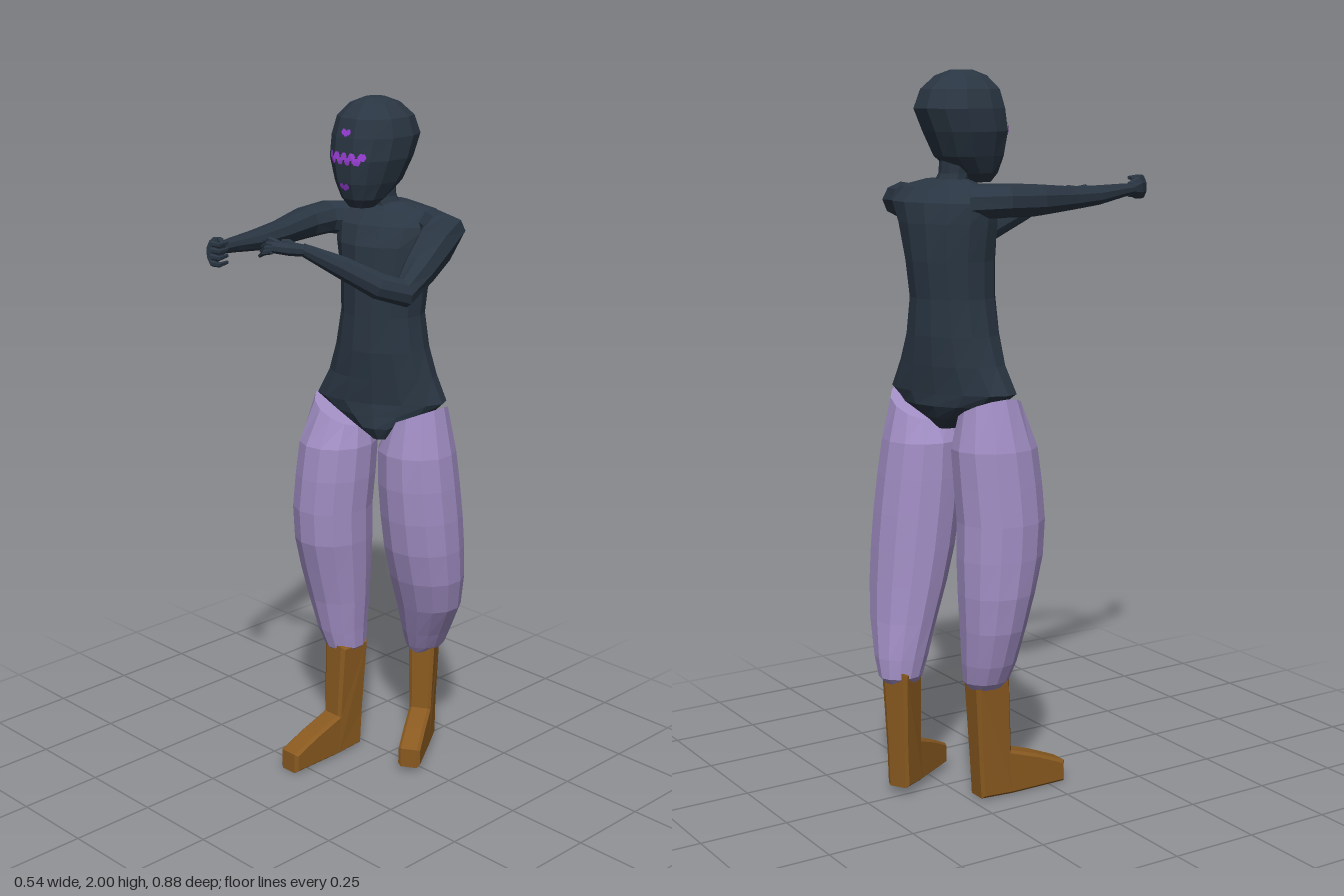
import * as THREE from 'three';

const mat = (name, color, extra = {}) => {
  const m = new THREE.MeshStandardMaterial({ color, flatShading: true, ...extra });
  m.name = name;
  return m;
};
const V = (x, y, z) => new THREE.Vector3(x, y, z);

// Skin a list of rings {c, u, v}, where v = u x travel direction, and cap both ends
function loft(rings, sides, power = 1) {
  const pos = [], idx = [];
  const bend = (t) => Math.sign(t) * Math.abs(t) ** power;
  for (const { c, u, v } of rings)
    for (let j = 0; j < sides; j++) {
      const a = ((j + 0.5) / sides) * Math.PI * 2;
      const p = c.clone().addScaledVector(u, bend(Math.cos(a))).addScaledVector(v, bend(Math.sin(a)));
      pos.push(p.x, p.y, p.z);
    }
  const n = rings.length, first = n * sides, last = first + 1;
  for (const r of [rings[0], rings[n - 1]]) pos.push(r.c.x, r.c.y, r.c.z);
  for (let j = 0; j < sides; j++) {
    const k = (j + 1) % sides, top = (n - 1) * sides;
    for (let i = 0; i < n - 1; i++) {
      const a = i * sides + j, b = i * sides + k;
      idx.push(a, a + sides, b, b, a + sides, b + sides);
    }
    idx.push(first, j, k, last, top + k, top + j);
  }
  const g = new THREE.BufferGeometry();
  g.setAttribute('position', new THREE.Float32BufferAttribute(pos, 3));
  g.setIndex(idx);
  g.computeVertexNormals();
  return g;
}

// Upright form, bottom to top: [x, y, z, half width, half depth, yaw, sideways tilt]
const column = (rows, sides, power) => loft(rows.map(([x, y, z, w, d, yaw = 0, tilt = 0]) => ({
  c: V(x, y, z),
  u: V(Math.cos(yaw) * w, tilt, -Math.sin(yaw) * w),
  v: V(Math.sin(yaw) * d, 0, Math.cos(yaw) * d),
})), sides, power);

// Form along a path: [x, y, z, radius, vertical radius]
function limb(rows, sides) {
  const pts = rows.map((r) => V(r[0], r[1], r[2]));
  return loft(rows.map((r, i) => {
    const d = pts[Math.min(i + 1, pts.length - 1)].clone().sub(pts[Math.max(i - 1, 0)]).normalize();
    const u = d.clone().cross(Math.abs(d.y) > 0.9 ? V(0, 0, 1) : V(0, 1, 0)).normalize();
    const v = u.clone().cross(d);
    return { c: pts[i], u: u.multiplyScalar(r[3]), v: v.multiplyScalar(r[4] ?? r[3]) };
  }), sides);
}

export function createModel() {
  const skin = mat('darkSlate', 0x2a3643);
  const cloth = mat('lavender', 0xa18ec4);
  const leather = mat('brownLeather', 0x8a5a20);
  const glow = mat('violetMark', 0x9a3fd6, { side: THREE.DoubleSide });
  const model = new THREE.Group();
  model.name = 'figure';
  const add = (name, geo, material, parent = model) => {
    const m = new THREE.Mesh(geo, material);
    m.name = name;
    parent.add(m);
    return m;
  };

  // Torso, turned towards its left, ending in a V between the legs
  const yaw = 0.46;
  add('torso', column([
    [0.0, 1.04, -0.215, 0.035, 0.06, yaw],
    [-0.01, 1.075, -0.22, 0.085, 0.085, yaw],
    [-0.02, 1.11, -0.23, 0.15, 0.092, yaw],
    [-0.027, 1.145, -0.23, 0.193, 0.09, yaw],
    [-0.025, 1.22, -0.232, 0.158, 0.1, yaw],
    [-0.025, 1.3, -0.23, 0.135, 0.108, yaw],
    [-0.025, 1.4, -0.23, 0.12, 0.108, yaw],
    [-0.023, 1.5, -0.235, 0.126, 0.112, yaw],
    [-0.02, 1.6, -0.24, 0.145, 0.11, yaw],
    [-0.015, 1.655, -0.25, 0.16, 0.095, yaw],
    [-0.015, 1.695, -0.25, 0.13, 0.06, yaw],
    [-0.025, 1.715, -0.245, 0.06, 0.045, yaw],
  ], 14), skin);

  add('neck', column([
    [-0.025, 1.67, -0.245, 0.058, 0.05],
    [-0.035, 1.73, -0.228, 0.046, 0.041],
    [-0.042, 1.82, -0.22, 0.05, 0.045],
  ], 10), skin);

  const head = add('head', column([
    [-0.042, 1.705, -0.16, 0.035, 0.035],
    [-0.042, 1.73, -0.167, 0.058, 0.06],
    [-0.043, 1.775, -0.187, 0.08, 0.097],
    [-0.045, 1.84, -0.2, 0.104, 0.115],
    [-0.045, 1.9, -0.217, 0.108, 0.124],
    [-0.045, 1.95, -0.215, 0.095, 0.107],
    [-0.045, 1.985, -0.212, 0.062, 0.07],
    [-0.045, 2.0, -0.21, 0.025, 0.03],
  ], 12, 0.85), skin);

  // Face marks: small patches laid onto the front of the head
  const marks = new THREE.Group();
  marks.name = 'faceMarks';
  model.add(marks);
  const ray = new THREE.Raycaster();
  const patch = (x, y, r) => {
    const g = new THREE.CircleGeometry(r, 6).translate(x, y, 0);
    const p = g.attributes.position;
    for (let i = 0; i < p.count; i++) {
      ray.set(V(p.getX(i), p.getY(i), 1), V(0, 0, -1));
      const hit = ray.intersectObject(head)[0];
      p.setZ(i, (hit ? hit.point.z : -0.09) + 0.004);
    }
    g.computeVertexNormals();
    add('faceMark', g, glow, marks);
  };
  for (let i = 0; i < 9; i++) patch(-0.093 + i * 0.0135, 1.845 + (i % 2 ? -0.007 : 0.006), 0.0115);
  for (const y of [1.915, 1.768])
    for (const dx of [-0.009, 0, 0.009]) patch(-0.041 + dx, y + (dx ? 0 : -0.004), 0.009);

  // Arms
  add('rightArm', limb([
    [-0.11, 1.655, -0.22, 0.055, 0.05],
    [-0.165, 1.66, -0.145, 0.058, 0.046],
    [-0.157, 1.657, -0.05, 0.048, 0.044],
    [-0.11, 1.655, 0.09, 0.039, 0.034],
    [-0.078, 1.657, 0.2, 0.036, 0.028],
    [-0.048, 1.665, 0.31, 0.022, 0.02],
    [-0.03, 1.668, 0.365, 0.018, 0.016],
  ], 9), skin);
  add('leftArm', limb([
    [0.08, 1.655, -0.3, 0.05, 0.045],
    [0.165, 1.65, -0.27, 0.06, 0.05],
    [0.195, 1.62, -0.2, 0.053, 0.06],
    [0.215, 1.57, -0.12, 0.045, 0.05],
    [0.232, 1.525, -0.045, 0.035, 0.04],
    [0.2, 1.55, 0.02, 0.034, 0.036],
    [0.14, 1.605, 0.1, 0.03, 0.03],
    [0.085, 1.655, 0.185, 0.017, 0.017],
  ], 9), skin);

  // Hands: a palm, four fingers and a thumb each
  const rightHand = new THREE.Group(), leftHand = new THREE.Group();
  rightHand.name = 'rightHand';
  leftHand.name = 'leftHand';
  model.add(rightHand, leftHand);
  add('palm', limb([[-0.035, 1.668, 0.355, 0.016, 0.018], [-0.02, 1.67, 0.39, 0.018, 0.034],
    [0.002, 1.67, 0.425, 0.014, 0.033]], 8), skin, rightHand);
  add('palm', limb([[0.09, 1.65, 0.175, 0.016], [0.068, 1.658, 0.215, 0.026, 0.018],
    [0.03, 1.66, 0.235, 0.022, 0.016]], 8), skin, leftHand);
  for (let i = 0; i < 4; i++) {
    const y = 1.645 + i * 0.017;
    add('finger', limb([[-0.002, y, 0.418, 0.008], [0.016, y, 0.434, 0.008],
      [0.04, y, 0.432, 0.007], [0.03, y, 0.397, 0.005]], 6), skin, rightHand);
    const s = i - 1.5;
    add('finger', limb([[0.035, 1.66 + s * 0.006, 0.235 - s * 0.009, 0.008],
      [0.008, 1.66 + s * 0.011, 0.24 - s * 0.007, 0.007],
      [-0.018, 1.648 + s * 0.012, 0.235 - s * 0.005, 0.005]], 6), skin, leftHand);
  }
  add('thumb', limb([[-0.02, 1.69, 0.38, 0.01], [0.0, 1.697, 0.392, 0.008],
    [0.02, 1.69, 0.402, 0.006]], 6), skin, rightHand);
  add('thumb', limb([[0.075, 1.662, 0.2, 0.01], [0.055, 1.672, 0.203, 0.008],
    [0.035, 1.672, 0.212, 0.006]], 6), skin, leftHand);

  // Baggy trousers, gathered above the boots
  add('rightTrouserLeg', column([
    [-0.14, 0.325, -0.2, 0.04, 0.05],
    [-0.14, 0.345, -0.2, 0.058, 0.066],
    [-0.15, 0.4, -0.196, 0.072, 0.078],
    [-0.16, 0.5, -0.19, 0.092, 0.092],
    [-0.163, 0.6, -0.18, 0.104, 0.108],
    [-0.161, 0.7, -0.168, 0.11, 0.122],
    [-0.16, 0.8, -0.163, 0.112, 0.124],
    [-0.153, 0.9, -0.168, 0.112, 0.124],
    [-0.148, 1.0, -0.176, 0.109, 0.121],
    [-0.138, 1.1, -0.185, 0.084, 0.086, 0, -0.04],
  ], 13), cloth);
  add('leftTrouserLeg', column([
    [0.025, 0.325, -0.372, 0.036, 0.05],
    [0.027, 0.345, -0.375, 0.054, 0.064],
    [0.04, 0.4, -0.365, 0.071, 0.077],
    [0.067, 0.5, -0.342, 0.102, 0.092],
    [0.078, 0.6, -0.32, 0.116, 0.107],
    [0.081, 0.7, -0.302, 0.121, 0.117],
    [0.081, 0.8, -0.289, 0.122, 0.12],
    [0.079, 0.9, -0.278, 0.12, 0.119],
    [0.077, 1.0, -0.27, 0.115, 0.112],
    [0.08, 1.1, -0.27, 0.084, 0.086, 0, 0.04],
  ], 13), cloth);

  // Boots: one side profile, narrowed at the sole
  const boot = new THREE.ExtrudeGeometry(new THREE.Shape([
    [-0.03, 0.015], [0.06, 0.01], [0.232, 0.01], [0.232, 0.058], [0.15, 0.092], [0.052, 0.125],
    [0.042, 0.35], [-0.05, 0.35], [-0.036, 0.12],
  ].map(([z, y]) => new THREE.Vector2(z, y))), {
    depth: 0.056, bevelEnabled: true, bevelSize: 0.008, bevelThickness: 0.01, bevelSegments: 1,
  }).translate(0, 0, -0.028).rotateY(-Math.PI / 2);
  const bp = boot.attributes.position;
  for (let i = 0; i < bp.count; i++)
    bp.setX(i, bp.getX(i) * (bp.getY(i) > 0.2 ? 1.1 : 0.92));
  boot.computeVertexNormals();
  const rightBoot = add('rightBoot', boot, leather);
  rightBoot.position.set(-0.13, -0.002, -0.188);
  const leftBoot = add('leftBoot', boot, leather);
  leftBoot.position.set(0.025, 0.016, -0.372);
  leftBoot.rotation.y = 0.55;
  leftBoot.scale.set(0.95, 0.97, 0.85);

  return model;
}
